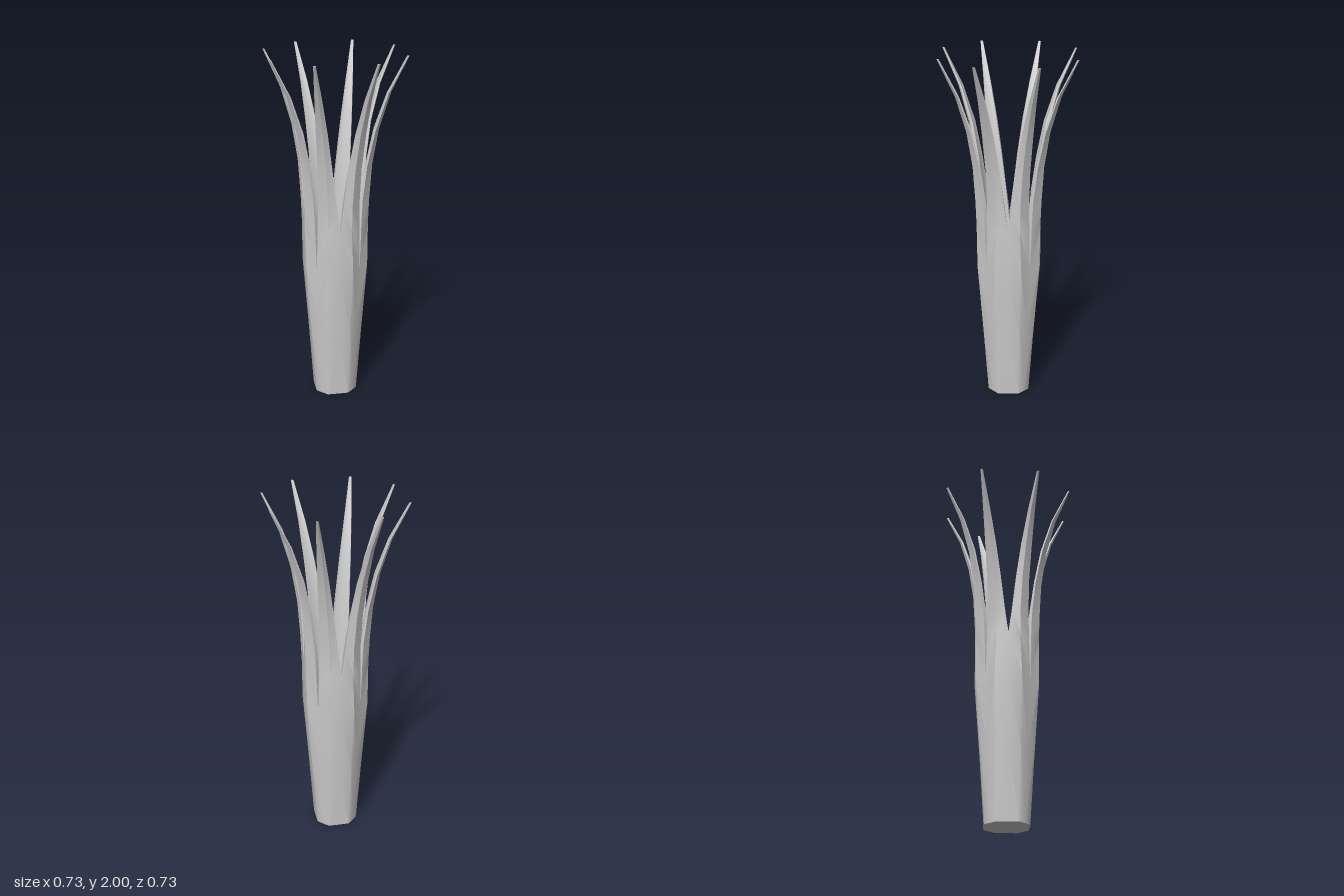
import * as THREE from 'three';
import { toCreasedNormals } from 'three/addons/utils/BufferGeometryUtils.js';

// Half-quadrant sections by height: y, inner y, then six (across, outward) pairs:
// outer near / mid / far, then inner far / mid / near.
const SECTIONS = [
  [0, 0.04, 0, 0.12, 0.06, 0.119, 0.09, 0.09, 0.062, 0.062, 0.035, 0.064, 0, 0.064],
  [0.4, 0.4, 0, 0.148, 0.067, 0.146, 0.106, 0.106, 0.082, 0.082, 0.045, 0.09, 0, 0.09],
  [0.8, 0.8, 0, 0.18, 0.075, 0.175, 0.122, 0.122, 0.098, 0.098, 0.055, 0.13, 0, 0.132],
  [1.05, 1.0, 0, 0.18, 0.066, 0.178, 0.117, 0.13, 0.1, 0.108, 0.055, 0.139, 0, 0.141],
  [1.2, 1.2, 0.02, 0.178, 0.068, 0.183, 0.115, 0.137, 0.105, 0.122, 0.06, 0.146, 0.02, 0.145],
  [1.4, 1.4, 0.043, 0.185, 0.08, 0.195, 0.12, 0.16, 0.115, 0.15, 0.08, 0.168, 0.046, 0.165],
  [1.6, 1.6, 0.072, 0.215, 0.1, 0.225, 0.134, 0.2, 0.13, 0.19, 0.1, 0.203, 0.076, 0.2],
  [1.8, 1.8, 0.11, 0.272, 0.128, 0.28, 0.15, 0.263, 0.147, 0.256, 0.13, 0.265, 0.112, 0.262],
  [2, 2, 0.156, 0.362, 0.163, 0.367, 0.17, 0.362, 0.169, 0.356, 0.163, 0.357, 0.156, 0.356],
];
const FAR_NOTCH = 2;   // row where the diagonal slits start
const NEAR_NOTCH = 3;  // row where the slits on the axes start

function shellGeometry() {
  const positions = [];

  for (let quarter = 0; quarter < 4; quarter++) {
    for (const side of [1, -1]) {
      const c = Math.round(Math.cos(quarter * Math.PI / 2));
      const s = Math.round(Math.sin(quarter * Math.PI / 2));
      const place = (across, y, out) =>
        [out * c + side * across * s, y, -out * s + side * across * c];
      const tri = (p, q, r) => {
        if (side > 0) positions.push(...p, ...q, ...r);
        else positions.push(...p, ...r, ...q);
      };
      const quad = (p, q, r, t) => { tri(p, q, r); tri(p, r, t); };

      const rings = SECTIONS.map((row) => Array.from({ length: 6 }, (_, j) =>
        place(row[2 + j * 2], j < 3 ? row[0] : row[1], row[3 + j * 2])));

      // Outer wall, inner wall and the open sides of the leaf
      for (let i = 0; i < rings.length - 1; i++) {
        for (let j = 0; j < 6; j++) {
          if (j === 2 && i < FAR_NOTCH) continue;
          if (j === 5 && i < NEAR_NOTCH) continue;
          const k = (j + 1) % 6;
          quad(rings[i][k], rings[i][j], rings[i + 1][j], rings[i + 1][k]);
        }
      }

      // Leaf tip
      const t = rings[rings.length - 1];
      quad(t[0], t[5], t[4], t[1]);
      quad(t[1], t[4], t[3], t[2]);

      // Underside and the floor of the hollow
      const b = rings[0];
      const under = [0, 0, 0];
      const floor = [0, SECTIONS[0][1], 0];
      tri(under, b[0], b[1]);
      tri(under, b[1], b[2]);
      tri(floor, b[4], b[5]);
      tri(floor, b[3], b[4]);
    }
  }

  const geometry = new THREE.BufferGeometry();
  geometry.setAttribute('position', new THREE.Float32BufferAttribute(positions, 3));
  return toCreasedNormals(geometry, 0.75);
}

export function createModel() {
  const group = new THREE.Group();
  group.name = 'splitStalk';

  const paleGrey = new THREE.MeshStandardMaterial({ color: 0xcccccc });
  paleGrey.name = 'pale grey';

  // Hollow stalk that splits into eight outward-curving leaves
  const stalk = new THREE.Mesh(shellGeometry(), paleGrey);
  stalk.name = 'hollowStalkWithLeaves';
  group.add(stalk);
  return group;
}
